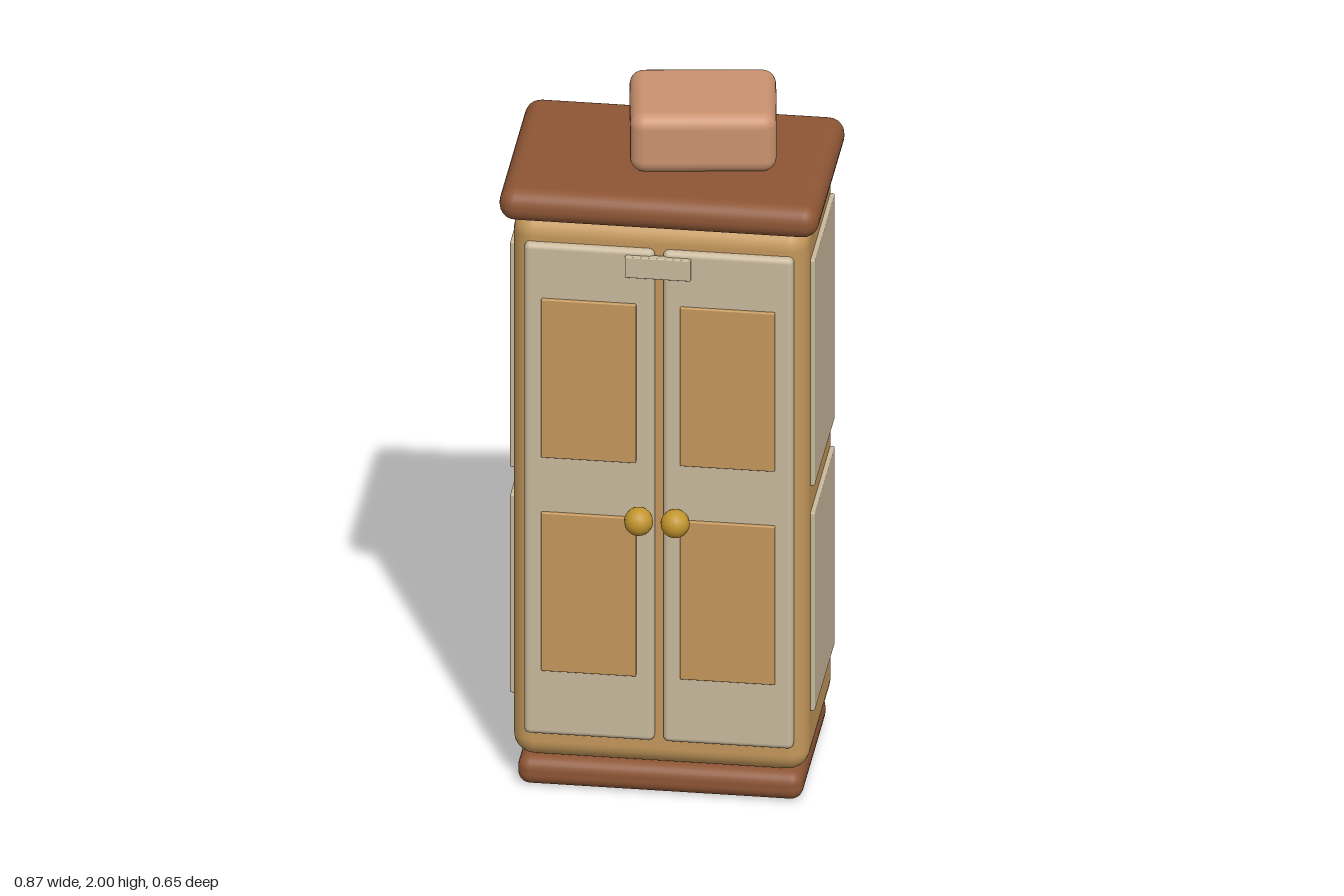
import * as THREE from 'three';
import { RoundedBoxGeometry } from 'three/addons/geometries/RoundedBoxGeometry.js';

const material = (name, color) => {
  const m = new THREE.MeshStandardMaterial({ color });
  m.name = name;
  return m;
};

export function createModel() {
  const wardrobe = new THREE.Group();
  wardrobe.name = 'wardrobe';

  const tanWood = material('tan wood', 0xc4985b);
  const paleWood = material('pale wood', 0xc9b99d);
  const brownWood = material('brown wood', 0x8e5635);
  const cardboard = material('dusty pink card', 0xca926f);
  const brass = material('brass', 0xc2952d);

  // Rounded box given by its lower and upper limits on each axis
  function block(name, mat, [x0, x1], [y0, y1], [z0, z1], radius, parent = wardrobe) {
    const geometry = new RoundedBoxGeometry(x1 - x0, y1 - y0, z1 - z0, 3, radius);
    const mesh = new THREE.Mesh(geometry, mat);
    mesh.name = name;
    mesh.position.set((x0 + x1) / 2, (y0 + y1) / 2, (z0 + z1) / 2);
    parent.add(mesh);
    return mesh;
  }

  // Carcass with plinth and cornice
  block('plinth', brownWood, [-0.39, 0.39], [0, 0.085], [-0.28, 0.235], 0.035);
  block('carcass', tanWood, [-0.405, 0.405], [0.082, 1.737], [-0.297, 0.235], 0.06);
  block('cornice', brownWood, [-0.437, 0.437], [1.73, 1.825], [-0.325, 0.275], 0.045);

  for (const side of [-1, 1]) {
    const label = side > 0 ? 'left' : 'right';
    const span = (a, b) => (side > 0 ? [a, b] : [-b, -a]);

    // Door with two raised panels and a round knob
    const door = new THREE.Group();
    door.name = label + 'Door';
    wardrobe.add(door);
    block('doorLeaf', paleWood, span(0.012, 0.368), [0.17, 1.665], [0.2, 0.254], 0.016, door);
    block('upperDoorPanel', tanWood, span(0.06, 0.32), [1.02, 1.503], [0.24, 0.263], 0.004, door);
    block('lowerDoorPanel', tanWood, span(0.06, 0.32), [0.37, 0.853], [0.24, 0.263], 0.004, door);
    const knob = new THREE.Mesh(new THREE.SphereGeometry(0.04, 14, 10), brass);
    knob.name = 'knob';
    knob.position.set(side * 0.05, 0.855, 0.282);
    door.add(knob);

    // Side panels
    block(label + 'UpperSidePanel', paleWood, span(0.39, 0.417), [0.937, 1.625], [-0.235, 0.17], 0.005);
    block(label + 'LowerSidePanel', paleWood, span(0.39, 0.417), [0.25, 0.855], [-0.235, 0.17], 0.005);
  }

  // Small plate across the meeting doors
  block('latchPlate', paleWood, [-0.09, 0.09], [1.587, 1.65], [0.245, 0.268], 0.003);

  // Box left askew on top
  const box = block('storageBox', cardboard, [-0.119, 0.279], [1.822, 2], [-0.22, 0.098], 0.04);
  box.rotation.y = 0.14;

  return wardrobe;
}
